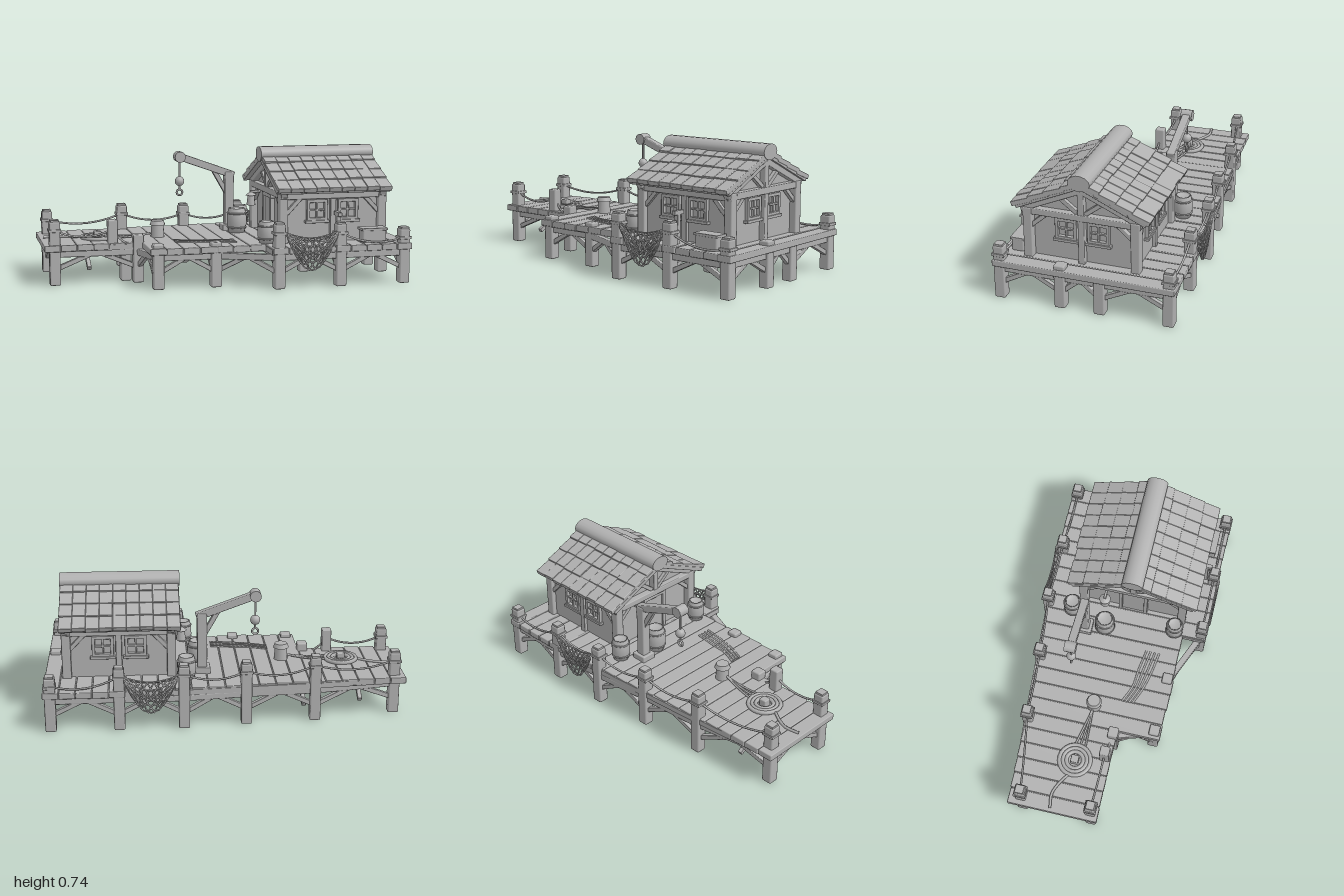
import * as THREE from 'three';
import { RoundedBoxGeometry } from 'three/addons/geometries/RoundedBoxGeometry.js';

const grey = new THREE.MeshStandardMaterial({ color: 0xb0b0b0 });
grey.name = 'weathered grey';

export function createModel() {
  const root = new THREE.Group();
  root.name = 'fishingDock';
  const V = (x, y, z) => new THREE.Vector3(x, y, z);
  let seed = 7;
  const rnd = () => (seed = (seed * 16807) % 2147483647) / 2147483647 - 0.5;

  function add(name, geometry, x = 0, y = 0, z = 0, parent = root) {
    const m = new THREE.Mesh(geometry, grey);
    m.name = name;
    m.position.set(x, y, z);
    parent.add(m);
    return m;
  }
  const box = (name, w, h, d, x, y, z, parent) =>
    add(name, new RoundedBoxGeometry(w, h, d, 1, Math.min(w, h, d) * 0.14), x, y, z, parent);
  // Timber running from a to b
  function beam(name, a, b, w = 0.03, h = w, parent = root) {
    const mid = a.clone().add(b).multiplyScalar(0.5);
    const m = box(name, w, h, a.distanceTo(b), mid.x, mid.y, mid.z, parent);
    m.lookAt(b);
    return m;
  }
  const tube = (name, pts, r = 0.006, seg = 14) =>
    add(name, new THREE.TubeGeometry(new THREE.CatmullRomCurve3(pts), seg, r, 6));
  function rope(name, a, b, sag, r) {
    const pts = [];
    for (let i = 0; i <= 6; i++) {
      const t = i / 6, p = a.clone().lerp(b, t);
      p.y -= sag * 4 * t * (1 - t);
      pts.push(p);
    }
    return tube(name, pts, r);
  }

  // Deck slab and planks
  const outline = [[-1, -0.385], [-0.49, -0.43], [0.23, -0.48], [0.6, -0.492], [0.99, -0.492], [0.99, 0.49],
    [0.19, 0.49], [0.19, 0.36], [-0.46, 0.36], [-0.46, 0.12], [-1, 0.11]];
  const slab = new THREE.Shape(outline.map(([x, z]) => new THREE.Vector2(x * 0.985, -z * 0.985)));
  add('deckSlab', new THREE.ExtrudeGeometry(slab, { depth: 0.03, bevelEnabled: false }), 0, 0.188, 0)
    .rotation.x = -Math.PI / 2;
  const backZ = x => (x < 0.6 ? -0.385 - (x + 1) * 0.067 : -0.492);
  for (const [x0, x1, zf, n] of [[-1, -0.46, 0.115, 6], [-0.46, 0.19, 0.36, 7], [0.19, 0.992, 0.49, 9]]) {
    const w = (x1 - x0) / n;
    for (let i = 0; i < n; i++) {
      const x = x0 + (i + 0.5) * w, zb = backZ(x) + rnd() * 0.01, f = zf + rnd() * 0.01;
      box('deckPlank', w - 0.004, 0.036, f - zb, x, 0.208 + rnd() * 0.004, (f + zb) / 2);
    }
  }

  // Edge beams with inverted-V braces between neighbouring posts
  const post = (x, z, top, w = 0.06) => {
    box('post', w, top, w, x, top / 2, z);
    if (top > 0.29) {
      box('postCollar', w + 0.01, 0.016, w + 0.01, x, top - 0.05, z);
      box('postCap', w * 0.8, 0.02, w * 0.8, x, top, z);
    }
  };
  const back = [[-0.94, -0.325, 0.355], [-0.49, -0.4, 0.365], [-0.11, -0.425, 0.35], [0.23, -0.46, 0.355],
    [0.58, -0.46, 0.35], [0.95, -0.46, 0.305]];
  const front = [[0.95, 0.46, 0.305], [0.58, 0.46, 0.345], [0.23, 0.46, 0.355]];
  const side = [[0.95, -0.09, 0.2], [0.95, 0.125, 0.25]];
  const step = [[-0.09, 0.325, 0.25], [-0.41, 0.32, 0.25]];
  const walk = [[-0.48, 0.095, 0.27], [-0.94, 0.075, 0.355]];
  const ring = [...back, ...side, ...front, ...step, ...walk];
  ring.forEach(([x, z, top], i) => {
    post(x, z, top);
    const [x2, z2] = ring[(i + 1) % ring.length];
    const a = V(x, 0.172, z), b = V(x2, 0.172, z2), mid = a.clone().lerp(b, 0.5);
    beam('edgeBeam', a, b, 0.035);
    const reach = Math.min(0.21, a.distanceTo(b) * 0.48);
    const dir = b.clone().sub(a).normalize();
    beam('brace', V(x, 0.085, z), a.clone().addScaledVector(dir, reach), 0.026);
    beam('brace', V(x2, 0.085, z2), b.clone().addScaledVector(dir, -reach), 0.026);
    void mid;
  });
  box('railPost', 0.055, 0.15, 0.055, -0.62, 0.28, 0.08);
  // Inner legs and cross joists
  post(0.51, 0.02, 0.2);
  post(-0.54, 0.03, 0.2);
  for (const [x, z0, z1] of [[0.58, -0.46, 0.46], [0.23, -0.46, 0.46], [-0.1, -0.425, 0.325], [-0.43, -0.4, 0.32], [-0.75, -0.35, 0.08]]) {
    beam('joist', V(x, 0.172, z0), V(x, 0.172, z1), 0.03);
    for (const [z, s] of [[z0, 1], [z1, -1]]) beam('joistBrace', V(x, 0.085, z), V(x, 0.17, z + s * 0.15), 0.024);
  }
  for (const s of [-1, 1]) beam('innerBrace', V(0.51, 0.08, 0.02), V(0.51 + s * 0.18, 0.18, 0.02), 0.026);

  // Sagging guard ropes
  const ropeRun = list => list.slice(1).forEach((p, i) => {
    const q = list[i];
    rope('guardRope', V(q[0], q[2] - 0.05, q[1]), V(p[0], p[2] - 0.05, p[1]), 0.04);
  });
  ropeRun(back);
  ropeRun(front);
  ropeRun([[-0.94, 0.075, 0.355], [-0.62, 0.08, 0.35], [-0.48, 0.095, 0.28]]);

  // Fishing nets hung on the outer rails, front and back
  for (const s of [1, -1]) {
    const netPoint = (u, v) => V(0.27 + u * 0.28, 0.305 - 0.03 * Math.sin(Math.PI * u) - v * (0.03 + 0.15 * Math.sin(Math.PI * u)),
      s * (0.488 + 0.008 * Math.sin(Math.PI * v)));
    const line = f => tube('netCord', [0, 0.2, 0.4, 0.6, 0.8, 1].map(f), 0.0045, 10);
    for (let k = 0; k <= 4; k++) line(t => netPoint(t, k / 4));
    for (let k = -3; k <= 7; k++) for (const d of [1, -1]) {
      line(t => netPoint(THREE.MathUtils.clamp((k + 2) / 8 + d * (t - 0.5) * 0.4, 0, 1), t));
    }
  }

  // Hut: everything is centred on its ridge line
  const hut = new THREE.Group();
  hut.name = 'hut';
  hut.position.z = 0.035;
  root.add(hut);
  const gable = new THREE.Shape([[-0.29, 0.22], [0.29, 0.22], [0.29, 0.5], [0, 0.645], [-0.29, 0.5]].map(p => new THREE.Vector2(...p)));
  add('hutWalls', new THREE.ExtrudeGeometry(gable, { depth: 0.545, bevelEnabled: false }), 0.305, 0, 0, hut).rotation.y = Math.PI / 2;

  function windowUnit(x, y, z, turn) {
    const g = new THREE.Group();
    g.name = 'window';
    g.position.set(x, y, z);
    g.rotation.y = turn;
    hut.add(g);
    for (const s of [-1, 1]) {
      box('frameSide', 0.018, 0.12, 0.024, s * 0.051, 0, 0, g);
      box('frameRail', 0.12, 0.018, 0.024, 0, s * 0.051, 0, g);
    }
    box('mullion', 0.01, 0.1, 0.014, 0, 0, 0, g);
    box('glazingBar', 0.1, 0.01, 0.014, 0, 0, 0, g);
    box('sill', 0.14, 0.016, 0.036, 0, -0.064, 0, g);
  }
  // Gable framing on both ends
  for (const [x, s] of [[0.865, 1], [0.29, -1]]) {
    for (const t of [-1, 1]) {
      box('cornerPost', 0.05, 0.29, 0.05, x, 0.365, t * 0.292, hut);
      beam('rafter', V(x, 0.495, t * 0.33), V(x, 0.645, 0), 0.04, 0.035, root).position.z += 0.035;
      hut.attach(root.children[root.children.length - 1]);
      const strut = (a, b) => {
        const m = beam('strut', a, b, 0.024, 0.024);
        m.position.z += 0.035;
        hut.attach(m);
      };
      strut(V(x, 0.4, t * 0.28), V(x, 0.48, t * 0.19));
      strut(V(x, 0.51, t * 0.02), V(x, 0.58, t * 0.11));
    }
    box('tieBeam', 0.045, 0.036, 0.64, x, 0.49, 0, hut);
    box('kingPost', 0.04, 0.14, 0.036, x, 0.57, 0, hut);
    if (s > 0) {
      box('middlePost', 0.036, 0.27, 0.036, x, 0.355, 0, hut);
      for (const t of [-1, 1]) windowUnit(0.858, 0.405, t * 0.088, Math.PI / 2);
    } else {
      box('door', 0.02, 0.22, 0.13, 0.3, 0.335, 0, hut);
      for (const t of [-1, 1]) box('doorJamb', 0.034, 0.24, 0.022, 0.297, 0.345, t * 0.074, hut);
      box('doorHead', 0.036, 0.024, 0.18, 0.296, 0.46, 0, hut);
    }
  }
  // Long walls
  for (const s of [1, -1]) {
    box('wallPlate', 0.6, 0.035, 0.04, 0.578, 0.485, s * 0.295, hut);
    box('wallPost', 0.034, 0.27, 0.03, 0.578, 0.355, s * 0.295, hut);
    for (const x of [0.485, 0.665]) windowUnit(x, 0.405, s * 0.298, 0);
    for (const [x, t] of [[0.31, 1], [0.845, -1]]) {
      const m = beam('wallBrace', V(x, 0.39, s * 0.295), V(x + t * 0.08, 0.475, s * 0.295), 0.024);
      m.position.z += 0.035;
      hut.attach(m);
    }
    // Overlapping shingle rows
    const slope = 0.43;
    for (let r = 0; r < 4; r++) for (let c = 0; c < 9; c++) {
      const off = 0.315 - r * 0.09, w = 0.66 / 9;
      const tile = box('shingle', w, 0.027, 0.122, 0.24 + (c + 0.5) * w, 0.545 + r * 0.0415 + rnd() * 0.005, s * (off + rnd() * 0.007), hut);
      tile.rotation.x = s * (slope - 0.07);
    }
    const under = box('roofBoard', 0.66, 0.025, 0.385, 0.568, 0.592, s * 0.178, hut);
    under.rotation.x = s * slope;
  }
  const cap = add('ridgeLog', new THREE.CylinderGeometry(0.06, 0.06, 0.67, 14), 0.568, 0.694, 0, hut);
  cap.rotation.z = Math.PI / 2;
  cap.scale.x = 0.72;

  // Hanging lantern beside the door
  beam('lanternBracket', V(0.29, 0.46, -0.12), V(0.225, 0.46, -0.12), 0.014);
  add('lantern', new THREE.CylinderGeometry(0.02, 0.027, 0.06, 8), 0.232, 0.41, -0.12);
  add('lanternCap', new THREE.ConeGeometry(0.034, 0.025, 8), 0.232, 0.45, -0.12);

  // Crane with hook block
  box('cranePost', 0.055, 0.36, 0.055, 0.12, 0.39, -0.215);
  box('craneBase', 0.09, 0.04, 0.09, 0.12, 0.24, -0.215);
  beam('craneBoom', V(0.15, 0.548, -0.215), V(-0.19, 0.67, -0.215), 0.045, 0.042);
  beam('craneStrut', V(0.11, 0.44, -0.215), V(0.03, 0.58, -0.215), 0.028);
  const wheel = add('boomHead', new THREE.CylinderGeometry(0.032, 0.032, 0.064, 12), -0.175, 0.663, -0.215);
  wheel.rotation.x = Math.PI / 2;
  beam('hoistRope', V(-0.175, 0.65, -0.215), V(-0.175, 0.47, -0.215), 0.01);
  add('hookBlock', new THREE.SphereGeometry(0.028, 12, 8), -0.175, 0.52, -0.215);
  add('hookRing', new THREE.TorusGeometry(0.017, 0.006, 6, 14), -0.175, 0.455, -0.215);

  // Barrels
  const stave = [[0, 0], [0.042, 0], [0.052, 0.045], [0.052, 0.09], [0.043, 0.135], [0.036, 0.135], [0.036, 0.122], [0, 0.122]];
  const barrel = new THREE.LatheGeometry(stave.map(p => new THREE.Vector2(...p)), 14);
  for (const [x, z, k] of [[0.21, -0.31, 1], [0.14, -0.1, 1.1], [0.205, 0.3, 0.95]]) {
    add('barrel', barrel, x, 0.224, z).scale.set(k, k * 0.97, k);
    for (const y of [0.03, 0.105]) {
      add('barrelHoop', new THREE.TorusGeometry(0.049 * k, 0.005, 5, 16), x, 0.224 + y * k, z).rotation.x = Math.PI / 2;
    }
  }

  // Crate and cross-headed mooring pole by the front wall
  box('crate', 0.14, 0.08, 0.07, 0.79, 0.265, 0.4);
  box('crateLid', 0.15, 0.014, 0.08, 0.79, 0.3, 0.4);
  beam('mooringPole', V(0.585, 0.22, 0.41), V(0.585, 0.4, 0.405), 0.026);
  beam('mooringBar', V(0.585, 0.39, 0.365), V(0.585, 0.39, 0.44), 0.024);

  // Bollard, rope coil and loose lines on the deck
  add('bollard', new THREE.CylinderGeometry(0.034, 0.04, 0.09, 12), -0.34, 0.265, -0.05);
  add('bollardHead', new THREE.CylinderGeometry(0.036, 0.045, 0.025, 12), -0.34, 0.308, -0.05);
  for (let i = 0; i < 3; i++) {
    add('ropeCoil', new THREE.TorusGeometry(0.088 - i * 0.02, 0.012, 6, 24), -0.68, 0.234, -0.08).rotation.x = Math.PI / 2;
  }
  box('coilPeg', 0.045, 0.045, 0.045, -0.68, 0.245, -0.08);
  for (const z of [-0.1, -0.07, -0.04]) rope('mooringLine', V(-0.6, 0.236, z), V(-0.37, 0.25, -0.05), 0.008);
  tube('tailLine', [V(-0.76, 0.232, -0.09), V(-0.84, 0.232, -0.14), V(-0.9, 0.232, -0.16), V(-0.98, 0.232, -0.15)], 0.008);
  for (let i = 0; i < 4; i++) {
    tube('looseLine', [V(-0.28, 0.228, 0.1 + i * 0.02), V(-0.18, 0.228, 0.14 + i * 0.02), V(-0.08, 0.228, 0.15 + i * 0.025), V(0.05, 0.228, 0.17 + i * 0.025)], 0.006);
  }
  return root;
}
